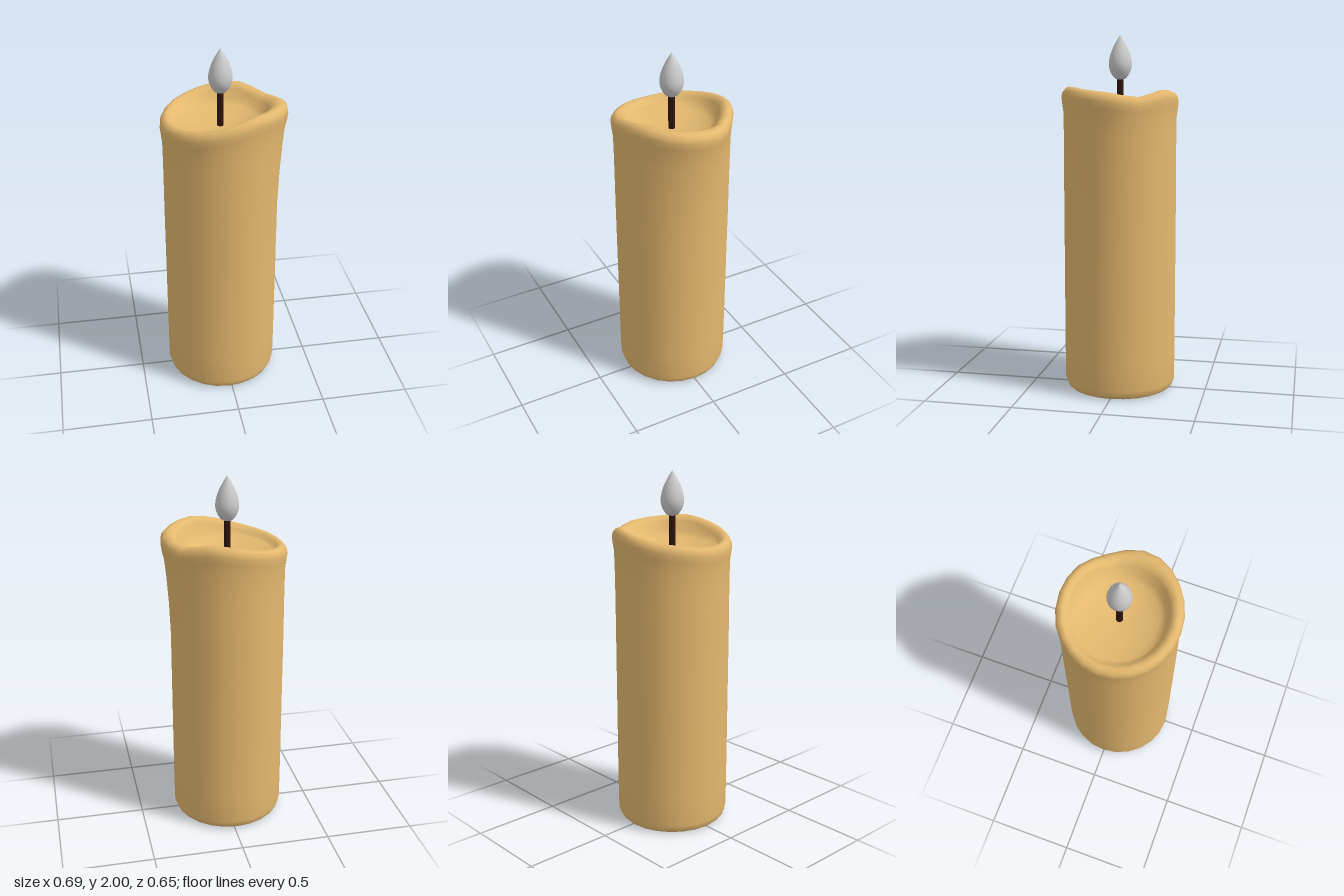
import * as THREE from 'three';

const SIDES = 24;
const AXIS_X = -0.018;

// Height of the melted rim, every 30 degrees from +x towards +z
const RIM = [1.695, 1.71, 1.72, 1.69, 1.655, 1.635, 1.625, 1.64, 1.66, 1.69, 1.705, 1.67];

function rimHeight(j) {
  const t = (j / SIDES) * RIM.length;
  const i = Math.floor(t), f = t - i;
  const p = (k) => RIM[(i + k + RIM.length) % RIM.length];
  // Catmull-Rom between neighbouring heights
  return p(0) + 0.5 * f * (p(1) - p(-1)
    + f * (2 * p(-1) - 5 * p(0) + 4 * p(1) - p(2)
    + f * (3 * (p(0) - p(1)) + p(2) - p(-1))));
}

// Wax bulging outwards on the +x side
function drip(angle) {
  let a = angle - 0.1;
  if (a > Math.PI) a -= 2 * Math.PI;
  return 0.036 * Math.exp(-(a * a) / (2 * 0.43 * 0.43));
}

// Rings: [radius, height, how far the height follows the rim (0-1), drip weight]
// With follow = 1 the height is an offset from the rim.
const RINGS = [
  [0, 0, 0, 0], [0.27, 0, 0, 0], [0.293, 0.004, 0, 0], [0.303, 0.014, 0, 0],
  [0.316, 0.05, 0, 0], [0.317, 0.2, 0, 0], [0.317, 0.65, 0, 0], [0.317, 1.1, 0, 0],
  [0.316, 1.3, 0, 0.25], [0.316, -0.22, 1, 0.6], [0.317, -0.13, 1, 0.85],
  [0.323, -0.085, 1, 1], [0.327, -0.05, 1, 1], [0.323, -0.025, 1, 1],
  [0.309, -0.006, 1, 0.9], [0.29, 0, 1, 0.7], [0.27, -0.01, 1, 0.4],
  [0.254, -0.03, 1, 0.2], [0.238, 0.98, 0.38, 0], [0.205, 1.33, 0.16, 0],
  [0.15, 1.5, 0.05, 0], [0.08, 1.57, 0, 0], [0, 1.567, 0, 0],
];

function waxGeometry() {
  const pos = [], index = [];
  RINGS.forEach(([r, y, follow, weight], i) => {
    for (let j = 0; j < SIDES; j++) {
      const a = (j / SIDES) * Math.PI * 2;
      const rr = r + weight * drip(a);
      pos.push(Math.cos(a) * rr, y + follow * rimHeight(j), Math.sin(a) * rr);
      if (i === RINGS.length - 1) continue;
      const k = (j + 1) % SIDES;
      const p = i * SIDES + j, q = i * SIDES + k;
      index.push(p, p + SIDES, q, q, p + SIDES, q + SIDES);
    }
  });
  const g = new THREE.BufferGeometry();
  g.setAttribute('position', new THREE.Float32BufferAttribute(pos, 3));
  g.setIndex(index);
  g.computeVertexNormals();
  return g;
}

export function createModel() {
  const group = new THREE.Group();
  group.name = 'candle';
  const add = (name, geometry, color) => {
    const mesh = new THREE.Mesh(geometry, new THREE.MeshStandardMaterial({ color }));
    mesh.name = name;
    mesh.position.x = AXIS_X;
    group.add(mesh);
    return mesh;
  };

  // Wax body with melted rim and hollow
  add('waxBody', waxGeometry(), 0xe4b86e);

  // Wick standing in the hollow
  add('wick', new THREE.CylinderGeometry(0.018, 0.018, 0.23, 12), 0x2e140d).position.y = 1.665;

  // Teardrop flame
  const outline = new THREE.SplineCurve([
    [0, 1.755], [0.03, 1.762], [0.055, 1.798], [0.064, 1.84],
    [0.055, 1.892], [0.033, 1.945], [0, 2],
  ].map(([x, y]) => new THREE.Vector2(x, y)));
  const points = outline.getPoints(20);
  points.forEach((p) => { p.x = Math.max(0, p.x); });
  add('flame', new THREE.LatheGeometry(points, 32), 0xcccccc);

  return group;
}
